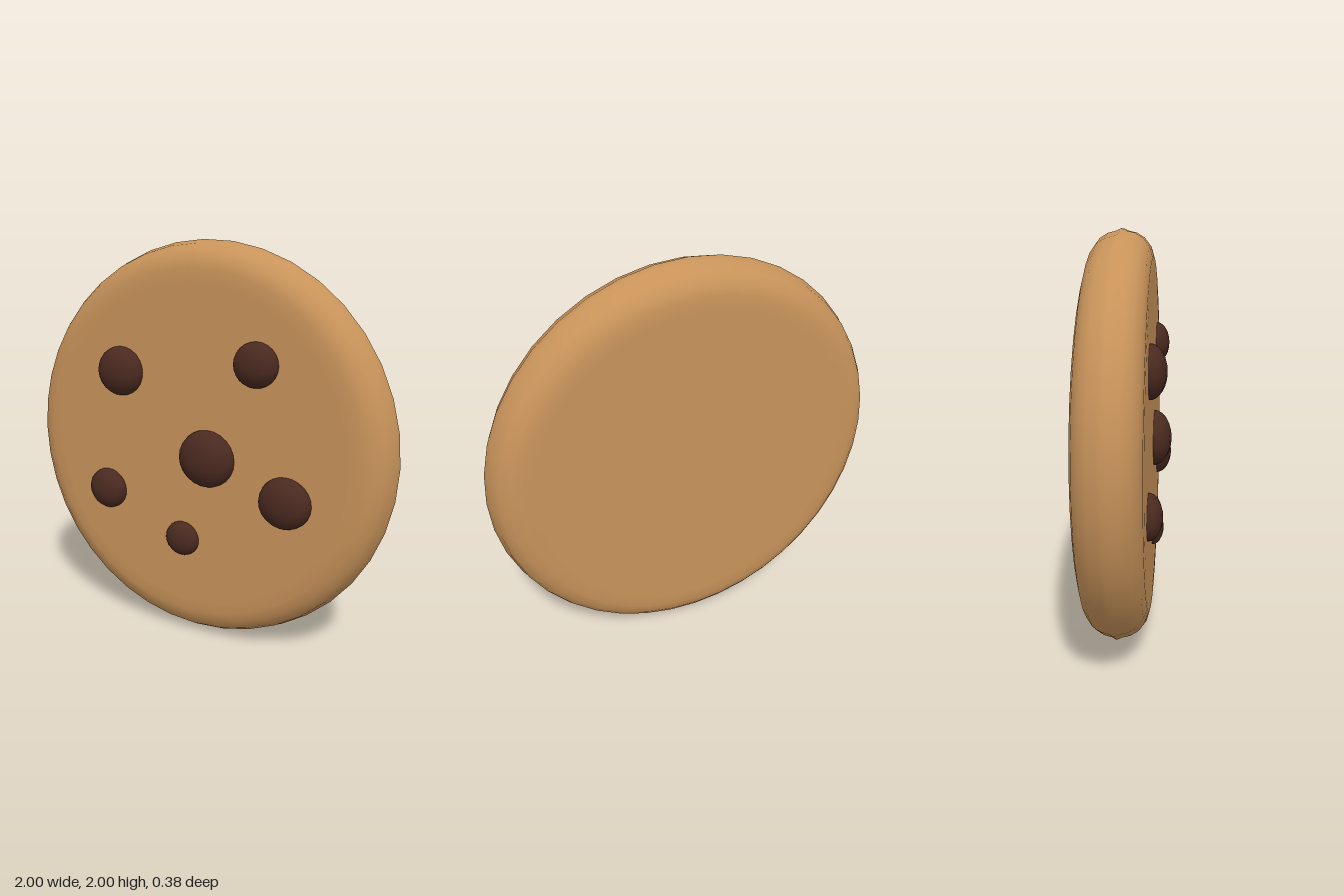
import * as THREE from 'three';

export function createModel() {
  const model = new THREE.Group();
  const dough = new THREE.MeshStandardMaterial({ name: 'bakedDough', color: 0xc8935a });
  const chocolate = new THREE.MeshStandardMaterial({ name: 'darkChocolate', color: 0x4a2a20 });

  // Disc with a rounded rim and a faint ridge along its middle
  const half = [[0, 0.145], [0.8, 0.145], [0.865, 0.144], [0.915, 0.13], [0.955, 0.1],
    [0.978, 0.062], [0.987, 0.025], [0.998, 0]];
  const mirrored = half.slice(0, -1).reverse().map(([r, h]) => [r, -h]);
  const profile = [...half, ...mirrored].reverse().map(([r, h]) => new THREE.Vector2(r, h));
  const disc = new THREE.Mesh(new THREE.LatheGeometry(profile, 40), dough);
  disc.name = 'cookieDisc';
  disc.rotation.x = Math.PI / 2;
  disc.position.set(0, 1.002, -0.045);
  model.add(disc);

  // Flattened chips half sunk into the front face: x, y, radius
  const chips = [[0.1, 0.965, 0.15], [-0.4, 1.36, 0.132], [0.355, 1.437, 0.113],
    [0.515, 0.805, 0.132], [-0.498, 0.728, 0.113], [-0.04, 0.53, 0.094]];
  const chipShape = new THREE.SphereGeometry(1, 16, 12);
  chips.forEach(([x, y, r], i) => {
    const chip = new THREE.Mesh(chipShape, chocolate);
    chip.name = `chocolateChip${i + 1}`;
    chip.position.set(x, y, 0.1);
    chip.scale.set(r, r * 0.945, r * 0.6);
    model.add(chip);
  });

  return model;
}
